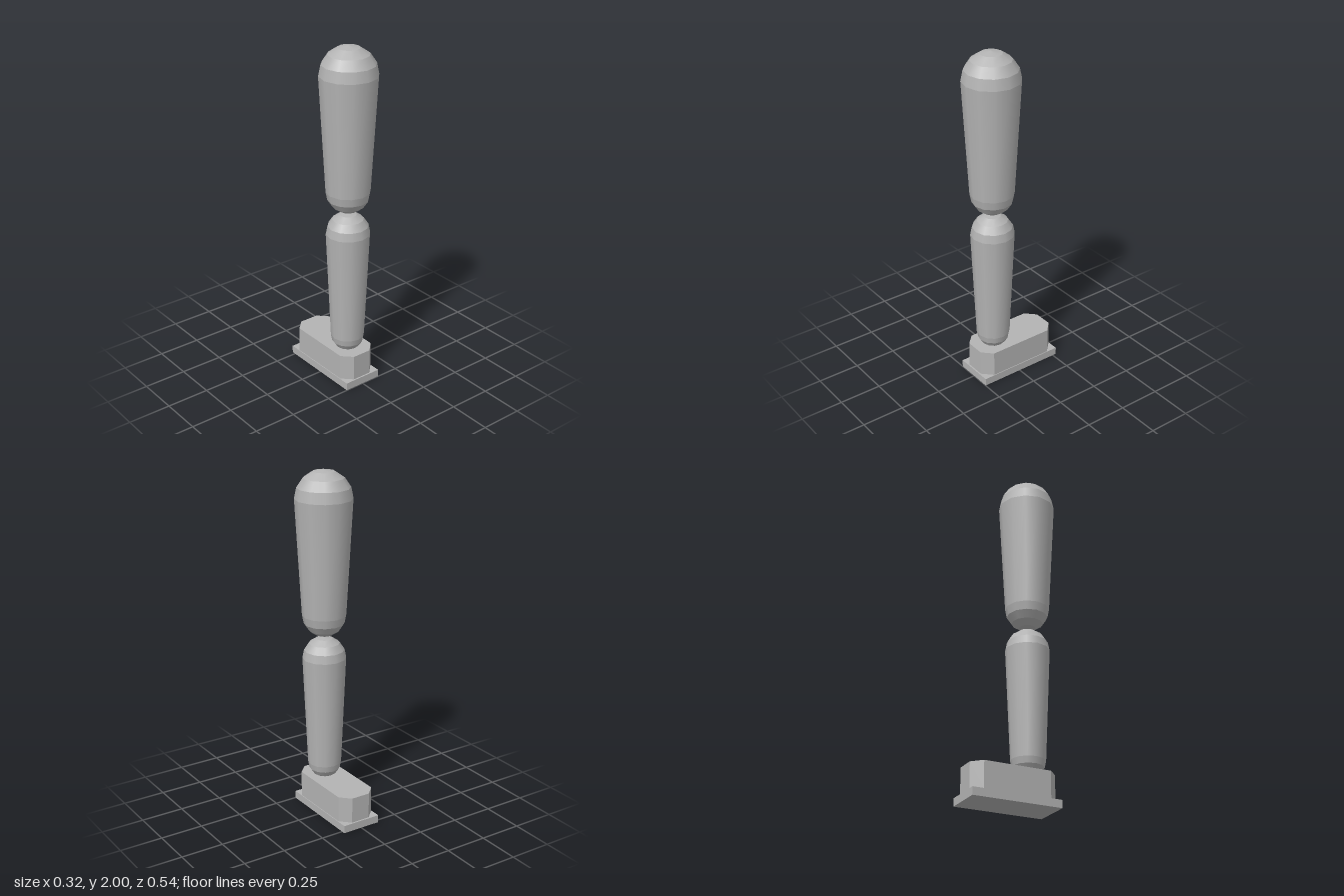
import * as THREE from 'three';
import { mergeGeometries } from 'three/addons/utils/BufferGeometryUtils.js';

const SIDES = 12;
const CAP_STEPS = 4;
const LEG_Z = 0.108;

// Tapered capsule made of conical bands: smooth around, creased between bands
function taperedCapsule(topR, topY, bottomR, bottomY) {
  const profile = [];
  for (let i = 0; i <= CAP_STEPS; i++) {
    const a = (i / CAP_STEPS) * Math.PI / 2;
    profile.push([topR * Math.sin(a), topY + topR * Math.cos(a)]);
  }
  for (let i = CAP_STEPS; i >= 0; i--) {
    const a = (i / CAP_STEPS) * Math.PI / 2;
    profile.push([bottomR * Math.sin(a), bottomY - bottomR * Math.cos(a)]);
  }
  const bands = [];
  for (let i = 0; i < profile.length - 1; i++) {
    const [r1, y1] = profile[i];
    const [r2, y2] = profile[i + 1];
    const band = new THREE.CylinderGeometry(r1, r2, y1 - y2, SIDES, 1, true);
    bands.push(band.translate(0, (y1 + y2) / 2, 0));
  }
  return mergeGeometries(bands);
}

export function createModel() {
  const model = new THREE.Group();
  model.name = 'leg';
  const grey = new THREE.MeshStandardMaterial({ color: 0xb3b3b3 });
  grey.name = 'grey';

  const add = (name, geometry, x, y, z) => {
    const mesh = new THREE.Mesh(geometry, grey);
    mesh.name = name;
    mesh.position.set(x, y, z);
    model.add(mesh);
  };

  // Thigh and shin
  add('thigh', taperedCapsule(0.162, 1.838, 0.125, 1.175), 0, 0, LEG_Z);
  add('shin', taperedCapsule(0.125, 0.92, 0.097, 0.272), 0, 0, LEG_Z);

  // Foot: box with four chamfered upright corners
  const w = 0.113, front = 0.24, back = -0.263, c = 0.056;
  const outline = new THREE.Shape([
    [w, -front + c], [w, -back - c], [w - c, -back], [c - w, -back],
    [-w, -back - c], [-w, -front + c], [c - w, -front], [w - c, -front],
  ].map(([x, y]) => new THREE.Vector2(x, y)));
  const foot = new THREE.ExtrudeGeometry(outline, { depth: 0.152, bevelEnabled: false });
  foot.rotateX(-Math.PI / 2);
  add('foot', foot, 0, 0.045, 0);

  // Sole plate
  add('sole', new THREE.BoxGeometry(0.234, 0.045, 0.522), 0, 0.0225, -0.012);

  return model;
}
